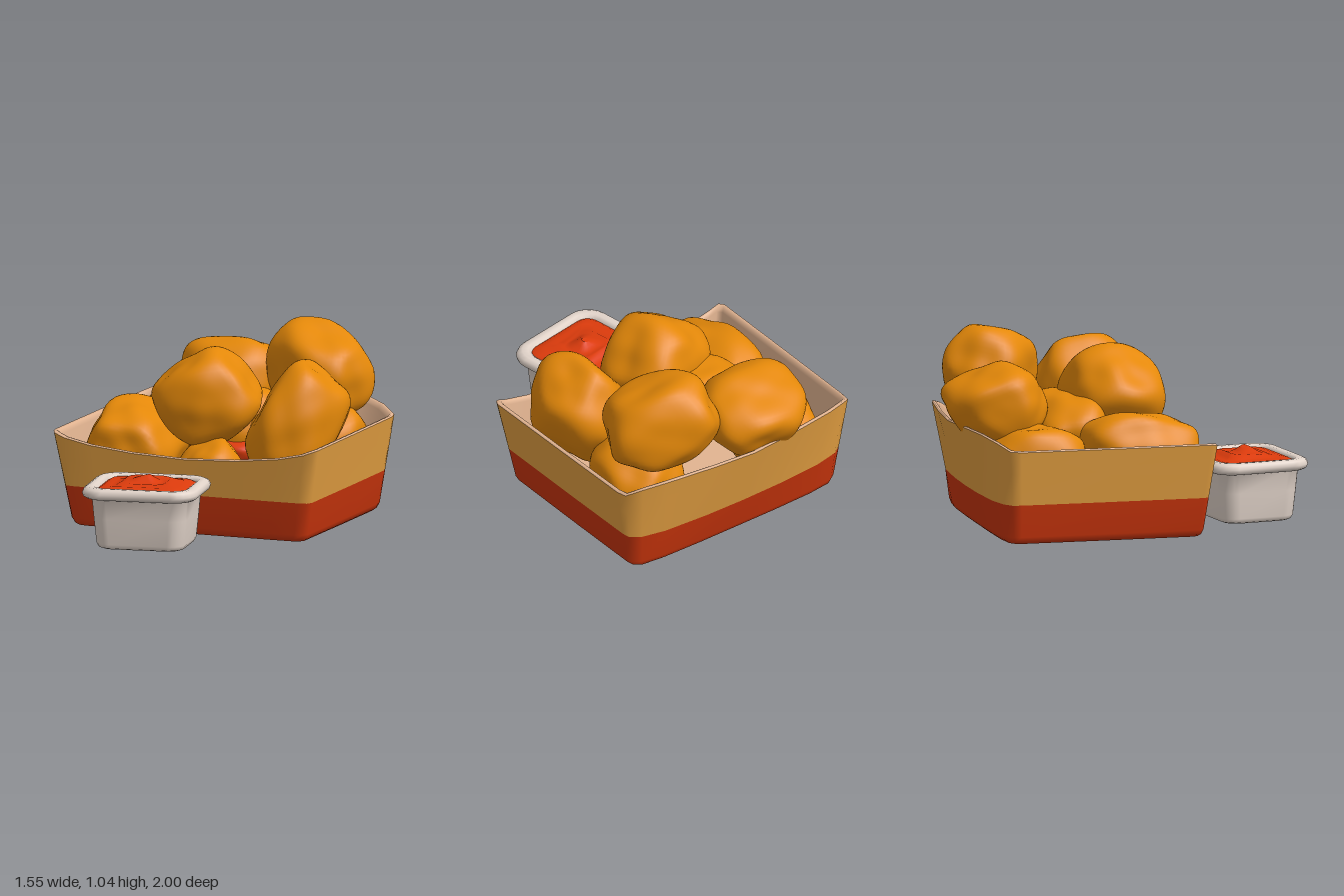
import * as THREE from 'three';
import { mergeVertices } from 'three/addons/utils/BufferGeometryUtils.js';

const mat = (name, color) => new THREE.MeshStandardMaterial({ name, color });

function seeded(seed) {
  let s = seed * 7919 + 17;
  return () => ((s = (s * 16807) % 2147483647) / 2147483647);
}

// Skin a stack of rings (arrays of Vector3, counter-clockwise from above)
function loft(rings) {
  const n = rings[0].length, pos = [], index = [];
  rings.forEach(r => r.forEach(p => pos.push(p.x, p.y, p.z)));
  for (let k = 0; k < rings.length - 1; k++) {
    for (let i = 0; i < n; i++) {
      const a = k * n + i, b = k * n + (i + 1) % n;
      index.push(a, b, b + n, a, b + n, a + n);
    }
  }
  return finish(pos, index);
}

// Fan that closes a ring, facing up or down
function cap(ring, up) {
  const n = ring.length, c = new THREE.Vector3(), pos = [], index = [];
  ring.forEach(p => { c.add(p); pos.push(p.x, p.y, p.z); });
  c.divideScalar(n);
  pos.push(c.x, c.y, c.z);
  for (let i = 0; i < n; i++) {
    const j = (i + 1) % n;
    index.push(n, up ? i : j, up ? j : i);
  }
  return finish(pos, index);
}

function finish(pos, index) {
  const g = new THREE.BufferGeometry();
  g.setAttribute('position', new THREE.Float32BufferAttribute(pos, 3));
  g.setIndex(index);
  g.computeVertexNormals();
  return g;
}

// Rounded rectangle ring
function roundRect(w, d, r, y) {
  const pts = [], steps = 5;
  [[1, 1, Math.PI / 2], [1, -1, 0], [-1, -1, -Math.PI / 2], [-1, 1, -Math.PI]].forEach(([sx, sz, a0]) => {
    for (let i = 0; i <= steps; i++) {
      const a = a0 - (i / steps) * Math.PI / 2;
      pts.push(new THREE.Vector3(sx * (w - r) + r * Math.cos(a), y, sz * (d - r) + r * Math.sin(a)));
    }
  });
  return pts;
}

// Blocky lump with soft facets, fitted to a box given by min and max corners
function lump(seed, min, max, stretch = [1, 1, 1], rot = [0, 0, 0]) {
  const rnd = seeded(seed), planes = [];
  [[1, 0, 0], [0, 1, 0], [0, 0, 1]].forEach(a => [1, -1].forEach(s =>
    planes.push([new THREE.Vector3(...a).multiplyScalar(s), 0.86])));
  for (let i = 0; i < 14; i++) {
    const y = rnd() * 2 - 1, a = rnd() * Math.PI * 2, q = Math.sqrt(1 - y * y);
    planes.push([new THREE.Vector3(q * Math.cos(a), y, q * Math.sin(a)), 0.88 + rnd() * 0.12]);
  }
  let g = new THREE.IcosahedronGeometry(1, 11);
  g.deleteAttribute('uv');
  g.deleteAttribute('normal');
  g = mergeVertices(g, 1e-4);
  const p = g.attributes.position, v = new THREE.Vector3();
  for (let i = 0; i < p.count; i++) {
    v.fromBufferAttribute(p, i).normalize();
    let sum = Math.pow(1 / 1.06, 18);
    planes.forEach(([n, d]) => { sum += Math.pow(Math.max(0, n.dot(v)) / d, 18); });
    const bump = 0.02 * Math.sin(6 * v.x + seed) * Math.sin(7 * v.y + 2 * seed)
      + 0.018 * Math.sin(8 * v.z + seed) * Math.cos(5 * v.x - seed);
    v.multiplyScalar(Math.pow(sum, -1 / 18) + bump);
    p.setXYZ(i, v.x, v.y, v.z);
  }
  g.scale(...stretch);
  g.applyMatrix4(new THREE.Matrix4().makeRotationFromEuler(new THREE.Euler(...rot)));
  g.computeBoundingBox();
  const size = g.boundingBox.getSize(new THREE.Vector3()), c = g.boundingBox.getCenter(new THREE.Vector3());
  g.translate(-c.x, -c.y, -c.z);
  g.scale(...[0, 1, 2].map(k => (max[k] - min[k]) / size.getComponent(k)));
  g.translate(...[0, 1, 2].map(k => (max[k] + min[k]) / 2));
  g.computeVertexNormals();
  return g;
}

export function createModel() {
  const root = new THREE.Group();
  const red = mat('cartonRed', 0xcb350c), tan = mat('cartonTan', 0xe6a142), paper = mat('paperLining', 0xe2b491);
  const crust = mat('goldenCrust', 0xe48809), white = mat('cupWhite', 0xe2d4ca), sauceRed = mat('sauceRed', 0xdc3b0c);
  const add = (parent, name, geo, material) => {
    const m = new THREE.Mesh(geo, material);
    m.name = name;
    parent.add(m);
    return m;
  };

  // Carton: half outline from front centre to back centre, [rim x, y, z, base x, z]
  const carton = new THREE.Group();
  carton.name = 'carton';
  root.add(carton);
  const half = [
    [0, .425, .372, 0, .325], [.3, .438, .374, .27, .325], [.55, .465, .377, .48, .325],
    [.70, .497, .378, .62, .322], [.758, .52, .373, .665, .31], [.775, .525, .34, .683, .28],
    [.772, .525, -.2, .687, -.25], [.767, .525, -.72, .687, -.70], [.757, .53, -.78, .68, -.74],
    [.68, .565, -.835, .64, -.77], [.55, .595, -.895, .5, -.785], [.25, .595, -.935, .25, -.79], [0, .585, -.945, 0, -.79],
  ];
  const outline = [...half, ...half.slice(1, -1).reverse().map(([x, y, z, bx, bz]) => [-x, y, z, -bx, bz])];
  // Ring on the wall: height picked per point, shrunk towards the middle by s
  const wall = (height, s = 1) => outline.map(([x, y, z, bx, bz]) => {
    const h = height(y), t = h / y;
    return new THREE.Vector3((bx + (x - bx) * t) * s, h, (bz + (z - bz) * t + .27) * s - .27);
  });
  const base = wall(() => 0, .965), band = wall(() => .22);
  add(carton, 'cartonBase', cap(base, false), red);
  add(carton, 'cartonLowerBand', loft([base, wall(() => .012, .987), wall(() => .04), band]), red);
  add(carton, 'cartonUpperBand', loft([band, wall(y => y * .75), wall(y => y - .008)]), tan);
  const floor = wall(() => .05, .95);
  add(carton, 'cartonLining', loft([wall(y => y - .008), wall(y => y, .99), wall(y => y - .004, .972),
    wall(y => y - .03, .96), wall(() => .1, .96), floor]), paper);
  add(carton, 'cartonFloor', cap(floor, true), paper);

  // Fried pieces: seed, min corner, max corner, stretch, tilt
  const pieces = new THREE.Group();
  pieces.name = 'friedPieces';
  root.add(pieces);
  [
    ['backCentrePiece', 3, [-.43, .45, -1.0], [.15, .905, -.43], [1, .9, 1], [-.45, -.15, 0]],
    ['backLeftPiece', 8, [.08, .48, -.90], [.70, 1.04, -.33], [1.25, 1, .9], [.12, -.55, -.3]],
    ['frontCentrePiece', 5, [-.33, .43, -.31], [.285, .965, .235], [1, 1, 1], [.2, .25, .6]],
    ['frontLeftPiece', 11, [.23, .25, -.34], [.77, .93, .28], [.9, 1.2, 1], [0, .35, -.6]],
    ['frontRightPiece', 14, [-.68, .18, -.31], [-.16, .665, .33], [1.1, .9, 1.15], [0, .15, -.45]],
    ['middlePiece', 17, [-.40, .3, -.5], [.29, .71, -.08]],
    ['backRightPiece', 21, [-.63, .12, -.84], [-.18, .6, -.27], [1, 1, 1.2], [0, -.15, 0]],
    ['lowerFrontPiece', 24, [-.13, .1, -.1], [.27, .5, .325], [1, 1, 1], [.3, .6, .4]],
    ['lowerBackPiece', 27, [.25, .15, -.75], [.70, .61, -.26]],
    ['fillingPiece', 30, [.1, .25, -.5], [.42, .62, -.1]],
  ].forEach(([name, seed, ...fit]) => add(pieces, name, lump(seed, ...fit), crust));
  add(pieces, 'sauceBetweenPieces', lump(33, [-.17, .3, -.38], [.22, .475, -.04]), sauceRed);

  // Crumbs along the inside of the front wall
  [[-.44, .08], [-.1, .16], [.2, .22]].forEach(([x, w]) => {
    const crumb = add(pieces, 'crumb', new THREE.BoxGeometry(w, .03, .009), crust);
    crumb.position.set(x, .37, .334);
  });

  // Dip cup with a rolled rim
  const cup = new THREE.Group();
  cup.name = 'dipCup';
  cup.position.set(-.088, 0, .685);
  cup.rotation.y = .165;
  root.add(cup);
  const ring = ([w, y, r]) => roundRect(w, w - .034, r, y);
  const cupRings = [
    [.215, 0, .07], [.235, .008, .08], [.246, .03, .085], [.259, .17, .09], [.268, .285, .09],
    [.295, .281, .11], [.312, .292, .12], [.317, .312, .12], [.309, .333, .12], [.290, .343, .11],
    [.262, .342, .09], [.245, .33, .08], [.235, .29, .07], [.228, .25, .07],
  ].map(ring);
  add(cup, 'cupBody', loft(cupRings), white);
  add(cup, 'cupBottom', cap(cupRings[0], false), white);

  // Sauce with swirled peak
  const swirl = [[.242, .322], [.22, .335], [.18, .338], [.15, .343], [.12, .356], [.10, .352], [.075, .356], [.045, .372], [.02, .384]]
    .map(([w, y]) => roundRect(w, w * .88, w * (w > .18 ? .3 : .3 + (.18 - w) * 3), y)
      .map((p, i, a) => p.setY(y + (w < .2 ? .006 * Math.sin(i / a.length * Math.PI * 2 + w * 40) : 0))));
  add(cup, 'sauceSurface', loft(swirl), sauceRed);
  add(cup, 'saucePeak', cap(swirl[swirl.length - 1], true), sauceRed);
  return root;
}
